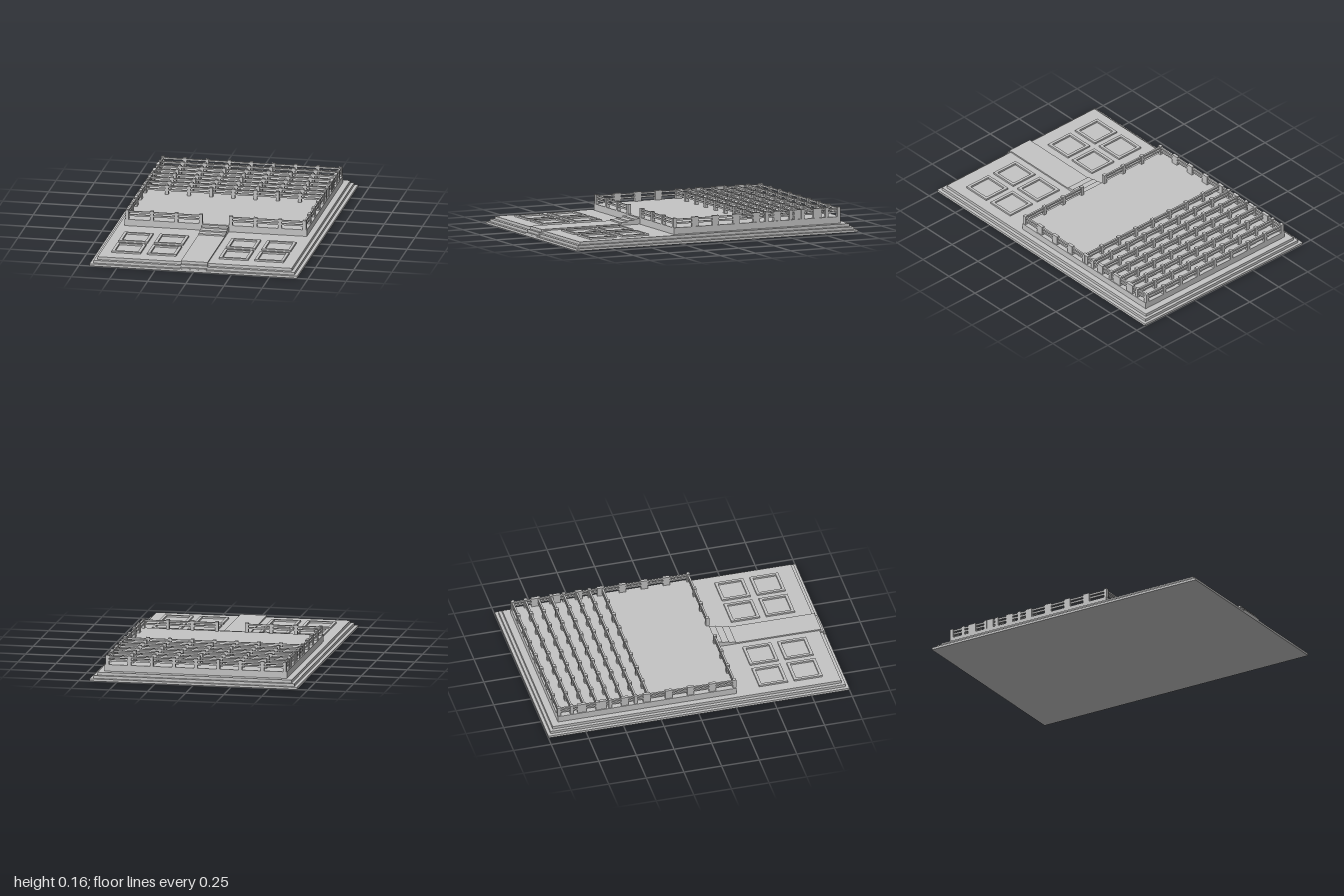
import * as THREE from 'three';

const stone = new THREE.MeshStandardMaterial({ color: 0xc4c4c4 });
stone.name = 'stone grey';

// Box given by its extents on each axis
function block(parent, name, [x0, x1], [y0, y1], [z0, z1]) {
  const mesh = new THREE.Mesh(new THREE.BoxGeometry(x1 - x0, y1 - y0, z1 - z0), stone);
  mesh.position.set((x0 + x1) / 2, (y0 + y1) / 2, (z0 + z1) / 2);
  mesh.name = name;
  parent.add(mesh);
  return mesh;
}

const around = (c, size) => [c - size / 2, c + size / 2];
const DECK = 0.095, POST_TOP = 0.157;
const RAILS = [[0.117, 0.128], [0.139, 0.15]];

// Railing running along x, with evenly spaced posts
function railingX(parent, name, xa, xb, z, count) {
  const g = new THREE.Group();
  g.name = name;
  for (const y of RAILS) block(g, 'rail', [xa, xb], y, around(z, 0.012));
  for (let i = 0; i < count; i++) {
    const x = xa + (xb - xa) * i / (count - 1);
    block(g, 'post', around(x, 0.022), [DECK, POST_TOP], around(z, 0.022));
  }
  parent.add(g);
}

// Railing running along z; the posts between the corners are longer
function railingZ(parent, name, x, za, zb, count) {
  const g = new THREE.Group();
  g.name = name;
  for (const y of RAILS) block(g, 'rail', around(x, 0.012), y, [za, zb]);
  for (let i = 1; i < count - 1; i++) {
    const z = za + (zb - za) * i / (count - 1);
    block(g, 'post', around(x, 0.02), [DECK, POST_TOP], around(z, 0.046));
  }
  parent.add(g);
}

// Square raised border with an open middle
function gardenFrame(parent, x, z) {
  const o = 0.095, i = 0.076;
  const shape = new THREE.Shape([[-o, -o], [o, -o], [o, o], [-o, o]].map(p => new THREE.Vector2(...p)));
  shape.holes.push(new THREE.Path([[-i, -i], [-i, i], [i, i], [i, -i]].map(p => new THREE.Vector2(...p))));
  const geo = new THREE.ExtrudeGeometry(shape, { depth: 0.011, bevelEnabled: false });
  geo.rotateX(-Math.PI / 2);
  const mesh = new THREE.Mesh(geo, stone);
  mesh.position.set(x, 0.052, z);
  mesh.name = 'gardenFrame';
  parent.add(mesh);
}

export function createModel() {
  const model = new THREE.Group();
  model.name = 'terrace';

  // Stepped base and raised deck
  block(model, 'baseTier', [-0.68, 0.68], [0, 0.015], [-1, 1]);
  block(model, 'middleTier', [-0.658, 0.658], [0.015, 0.033], [-0.98, 0.98]);
  block(model, 'topTier', [-0.636, 0.636], [0.033, 0.052], [-0.96, 0.957]);
  block(model, 'deck', [-0.597, 0.597], [0.052, DECK], [-0.915, 0.27]);

  // Central path with entry steps, and stairs up to the deck
  const path = [-0.088, 0.086];
  block(model, 'entryStep', path, [0.015, 0.024], [0.97, 0.999]);
  block(model, 'entryStep', path, [0.024, 0.042], [0.95, 0.985]);
  block(model, 'path', path, [0.042, 0.061], [0.27, 0.968]);
  [[0.07, 0.4], [0.079, 0.355], [0.088, 0.31]].forEach(([top, front], i) =>
    block(model, 'stair', path, [0.061 + i * 0.009, top], [0.27, front]));

  // Two-by-two garden frames on each side of the path
  for (const x of [-0.471, -0.238, 0.233, 0.466])
    for (const z of [0.525, 0.757]) gardenFrame(model, x, z);

  // Rows of railings across the back of the deck
  for (let i = 0; i < 8; i++) railingX(model, 'rowRailing', -0.581, 0.581, -0.905 + i * 0.085, 9);

  // Front railings with a gap for the stairs, and the sides
  railingX(model, 'frontRailingRight', -0.581, -0.098, 0.26, 4);
  railingX(model, 'frontRailingLeft', 0.098, 0.581, 0.26, 4);
  for (const s of [-1, 1])
    railingZ(model, s < 0 ? 'sideRailingRight' : 'sideRailingLeft', s * 0.581, -0.905, 0.26, 9);

  return model;
}
